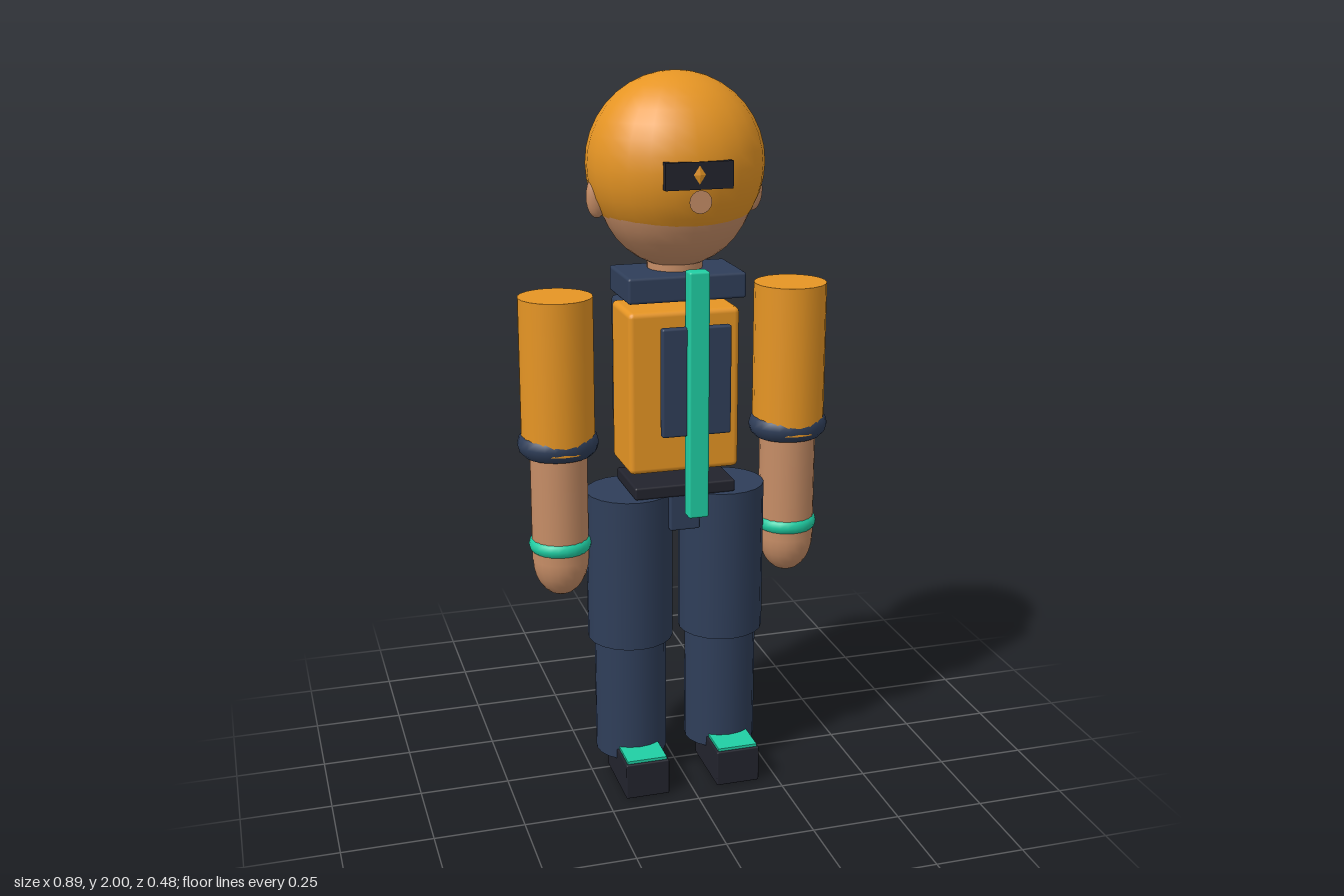
import * as THREE from 'three';
import { RoundedBoxGeometry } from 'three/addons/geometries/RoundedBoxGeometry.js';

const material = (name, color) => {
  const m = new THREE.MeshStandardMaterial({ color });
  m.name = name;
  return m;
};

export function createModel() {
  const orange = material('orange', 0xe69524);
  const navy = material('navy', 0x2f3e59);
  const black = material('black', 0x22232d);
  const skin = material('skin', 0xc68d66);
  const teal = material('teal', 0x20cfa4);

  const model = new THREE.Group();
  model.name = 'figure';

  const add = (parent, name, geometry, mat, x, y, z) => {
    const mesh = new THREE.Mesh(geometry, mat);
    mesh.name = name;
    mesh.position.set(x, y, z);
    parent.add(mesh);
    return mesh;
  };
  // Box given by its limits, with an optional rounded edge
  const box = (parent, name, mat, [x0, x1], [y0, y1], [z0, z1], r = 0) => {
    const s = [x1 - x0, y1 - y0, z1 - z0];
    const g = r ? new RoundedBoxGeometry(...s, 2, r) : new THREE.BoxGeometry(...s);
    return add(parent, name, g, mat, (x0 + x1) / 2, (y0 + y1) / 2, (z0 + z1) / 2);
  };
  const ellipsoid = (parent, name, mat, [x, y, z], [rx, ry, rz], w = 24, h = 18) =>
    add(parent, name, new THREE.SphereGeometry(1, w, h).scale(rx, ry, rz), mat, x, y, z);
  const tube = (parent, name, mat, x, z, y0, y1, r) =>
    add(parent, name, new THREE.CylinderGeometry(r, r, y1 - y0, 20), mat, x, (y0 + y1) / 2, z);
  const ring = (parent, name, mat, x, y, z, radius, thick, depth = 1) =>
    add(parent, name, new THREE.TorusGeometry(radius, thick, 12, 24)
      .rotateX(Math.PI / 2).scale(1, 1, depth), mat, x, y, z);

  // Head with close-fitting helmet
  const head = new THREE.Group();
  head.name = 'head';
  model.add(head);
  ellipsoid(head, 'face', skin, [0, 1.715, 0.017], [0.215, 0.23, 0.188]);
  ellipsoid(head, 'helmet', orange, [0, 1.76, 0.01], [0.24, 0.24, 0.22]);
  tube(head, 'neck', skin, 0, 0.005, 1.44, 1.54, 0.075);
  box(head, 'visor', black, [-0.09, 0.09], [1.72, 1.79], [0.195, 0.231]);
  add(head, 'visorGem', new THREE.OctahedronGeometry(1).scale(0.016, 0.024, 0.004),
    orange, 0, 1.757, 0.231);
  add(head, 'nose', new THREE.ConeGeometry(0.03, 0.06, 16).rotateX(-Math.PI / 2),
    skin, 0, 1.69, 0.21);

  // Torso, collar, belt, backpack and chest gear
  const body = new THREE.Group();
  body.name = 'body';
  model.add(body);
  box(body, 'torso', orange, [-0.155, 0.155], [0.93, 1.38], [-0.085, 0.105], 0.015);
  box(body, 'collar', navy, [-0.163, 0.163], [1.41, 1.48], [-0.07, 0.132], 0.008);
  box(body, 'belt', black, [-0.143, 0.143], [0.86, 0.895], [-0.085, 0.113], 0.006);
  box(body, 'pelvis', navy, [-0.043, 0.043], [0.76, 0.865], [-0.09, 0.11], 0.006);
  box(body, 'backpack', navy, [-0.118, 0.118], [0.985, 1.36], [-0.24, -0.145], 0.014);
  box(body, 'chestPanel', navy, [-0.095, 0.095], [1.065, 1.36], [0.193, 0.217], 0.006);
  box(body, 'chestStrap', teal, [-0.028, 0.028], [0.84, 1.51], [0.193, 0.238], 0.006);

  // Mirrored ears, arms and legs
  for (const [side, s] of [['left', 1], ['right', -1]]) {
    ellipsoid(head, side + 'Ear', skin, [s * 0.215, 1.68, 0.012], [0.029, 0.057, 0.022], 16, 12);

    const arm = new THREE.Group();
    arm.name = side + 'Arm';
    model.add(arm);
    const ax = s * 0.332;
    tube(arm, 'sleeve', orange, ax, 0.01, 1.0, 1.42, 0.101);
    ring(arm, 'sleeveCuff', navy, ax, 1.015, 0.01, 0.072, 0.04, 0.92);
    tube(arm, 'forearm', skin, ax, 0.01, 0.68, 1.02, 0.079);
    ring(arm, 'bracelet', teal, ax, 0.723, 0.01, 0.061, 0.026);
    ellipsoid(arm, 'hand', skin, [ax, 0.68, 0.013], [0.078, 0.107, 0.076], 20, 14);

    const leg = new THREE.Group();
    leg.name = side + 'Leg';
    model.add(leg);
    const lx = s * 0.134;
    tube(leg, 'thigh', navy, lx, 0.012, 0.425, 0.86, 0.121);
    tube(leg, 'shin', navy, lx, 0.012, 0.075, 0.43, 0.102);
    box(leg, 'shoe', black, [lx - 0.063, lx + 0.063], [0, 0.105], [-0.02, 0.197], 0.004);
    box(leg, 'shoeTop', teal, [lx - 0.057, lx + 0.057], [0.104, 0.113], [0.09, 0.19]);
  }
  return model;
}
